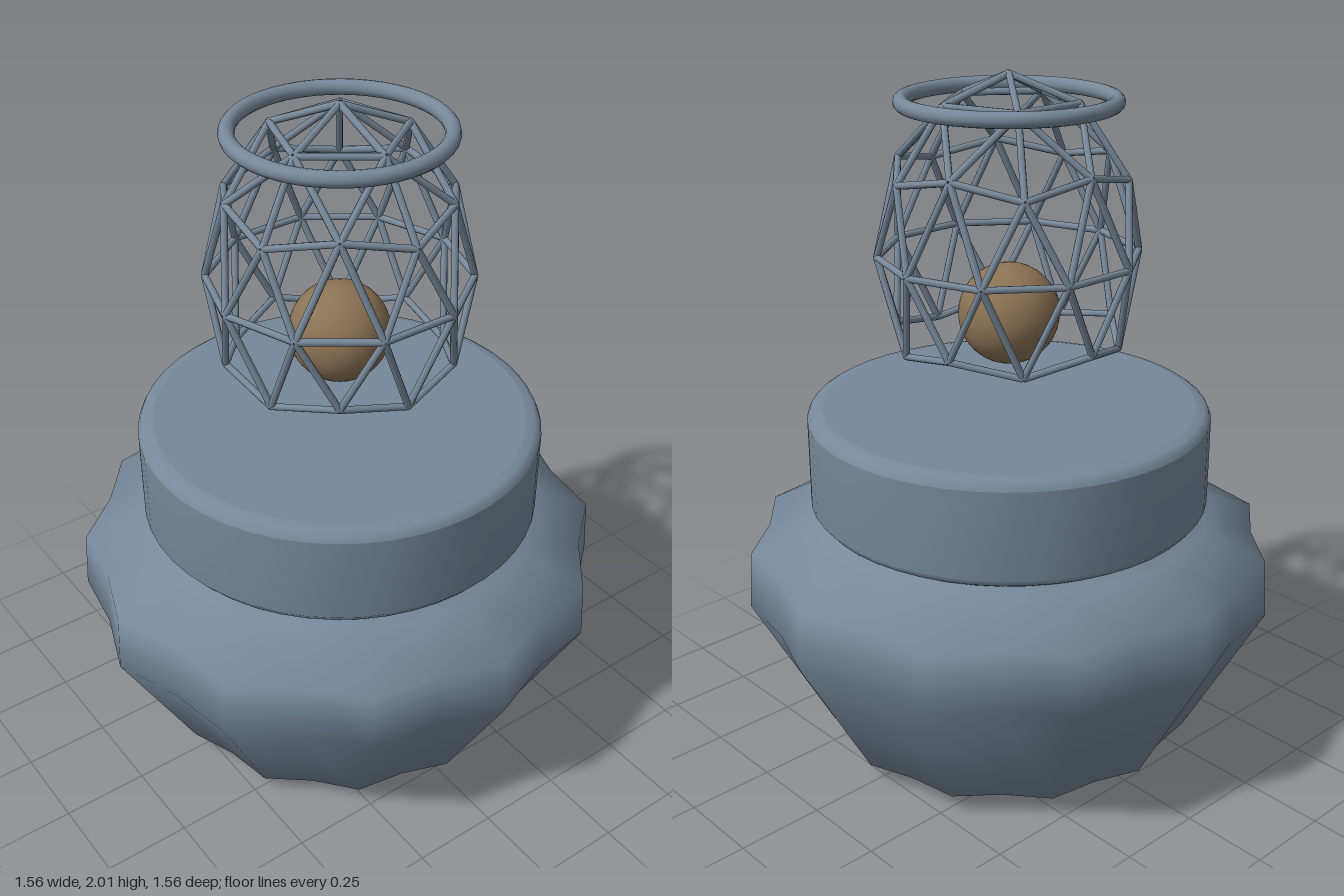
import * as THREE from 'three';
import { mergeVertices, mergeGeometries } from 'three/addons/utils/BufferGeometryUtils.js';

const steel = new THREE.MeshStandardMaterial({ color: 0x778899 });
steel.name = 'slate grey';
const bronze = new THREE.MeshStandardMaterial({ color: 0x8b7355 });
bronze.name = 'bronze brown';

function add(group, name, geometry, material, y = 0) {
  const mesh = new THREE.Mesh(geometry, material);
  mesh.name = name;
  mesh.position.y = y;
  group.add(mesh);
  return mesh;
}

const lathe = (points, segments) =>
  new THREE.LatheGeometry(points.map(([r, y]) => new THREE.Vector2(r, y)), segments);

// Pot with twelve lobes: every second column of the lathe is pulled in below the neck
function flutedBody() {
  let geo = lathe([[0, 0], [0.553, 0.06], [0.78, 0.475], [0.77, 0.645], [0.59, 0.722], [0.555, 0.745]], 24);
  const pos = geo.attributes.position;
  for (let i = 0; i < pos.count; i++) {
    const angle = Math.atan2(pos.getX(i), pos.getZ(i));
    const depth = pos.getY(i) < 0.7 ? 0.058 : 0.02;
    const k = 1 - depth * (1 - Math.cos(12 * angle)) / 2;
    pos.setX(i, pos.getX(i) * k);
    pos.setZ(i, pos.getZ(i) * k);
  }
  geo.deleteAttribute('uv');
  geo.deleteAttribute('normal');
  geo = mergeVertices(geo, 1e-4);
  geo.computeVertexNormals();
  return geo;
}

// Upper part of a geodesic ball, stretched upright, one thin bar per edge
function cageBars() {
  const points = [new THREE.Vector3(0, 1, 0)];
  const ringOf = (count, y, start) => {
    const r = Math.sqrt(1 - y * y);
    for (let i = 0; i < count; i++) {
      const a = start + i * Math.PI * 2 / count;
      points.push(new THREE.Vector3(r * Math.cos(a), y, r * Math.sin(a)));
    }
  };
  ringOf(5, 0.851, 0);
  ringOf(5, 0.447, 0);
  ringOf(5, 0.526, Math.PI);
  ringOf(10, 0, Math.PI / 10);
  ringOf(5, -0.447, Math.PI);
  ringOf(5, -0.526, 0);

  const scale = new THREE.Vector3(0.37, 0.497, 0.37);
  const up = new THREE.Vector3(0, 1, 0);
  const bars = [];
  points.forEach((p, i) => points.slice(i + 1).forEach((q) => {
    if (p.distanceTo(q) > 0.65) return;
    const a = p.clone().multiply(scale), b = q.clone().multiply(scale);
    const dir = b.clone().sub(a);
    const bar = new THREE.CylinderGeometry(0.01, 0.01, dir.length(), 8);
    bar.applyQuaternion(new THREE.Quaternion().setFromUnitVectors(up, dir.normalize()));
    const mid = a.add(b).multiplyScalar(0.5);
    bars.push(bar.translate(mid.x, mid.y, mid.z));
  }));
  return mergeGeometries(bars);
}

export function createModel() {
  const group = new THREE.Group();
  group.name = 'lobedPotWithCage';

  // Pot, neck and lid
  add(group, 'pot', flutedBody(), steel);
  add(group, 'neck', lathe([[0.54, 0.735], [0.565, 0.75], [0.585, 0.775], [0.585, 1.03]], 48), steel);
  add(group, 'lidEdge', lathe([[0.585, 1.03], [0.578, 1.045], [0.565, 1.054], [0.54, 1.06]], 48), steel);
  add(group, 'lidTop', new THREE.CircleGeometry(0.54, 48).rotateX(-Math.PI / 2), steel, 1.06);

  // Floating cage, crown ring and ball
  add(group, 'cage', cageBars(), steel, 1.5);
  add(group, 'crownRing', new THREE.TorusGeometry(0.293, 0.022, 12, 48).rotateX(Math.PI / 2), steel, 1.925);
  add(group, 'ball', new THREE.SphereGeometry(0.145, 32, 20), bronze, 1.325);
  return group;
}
